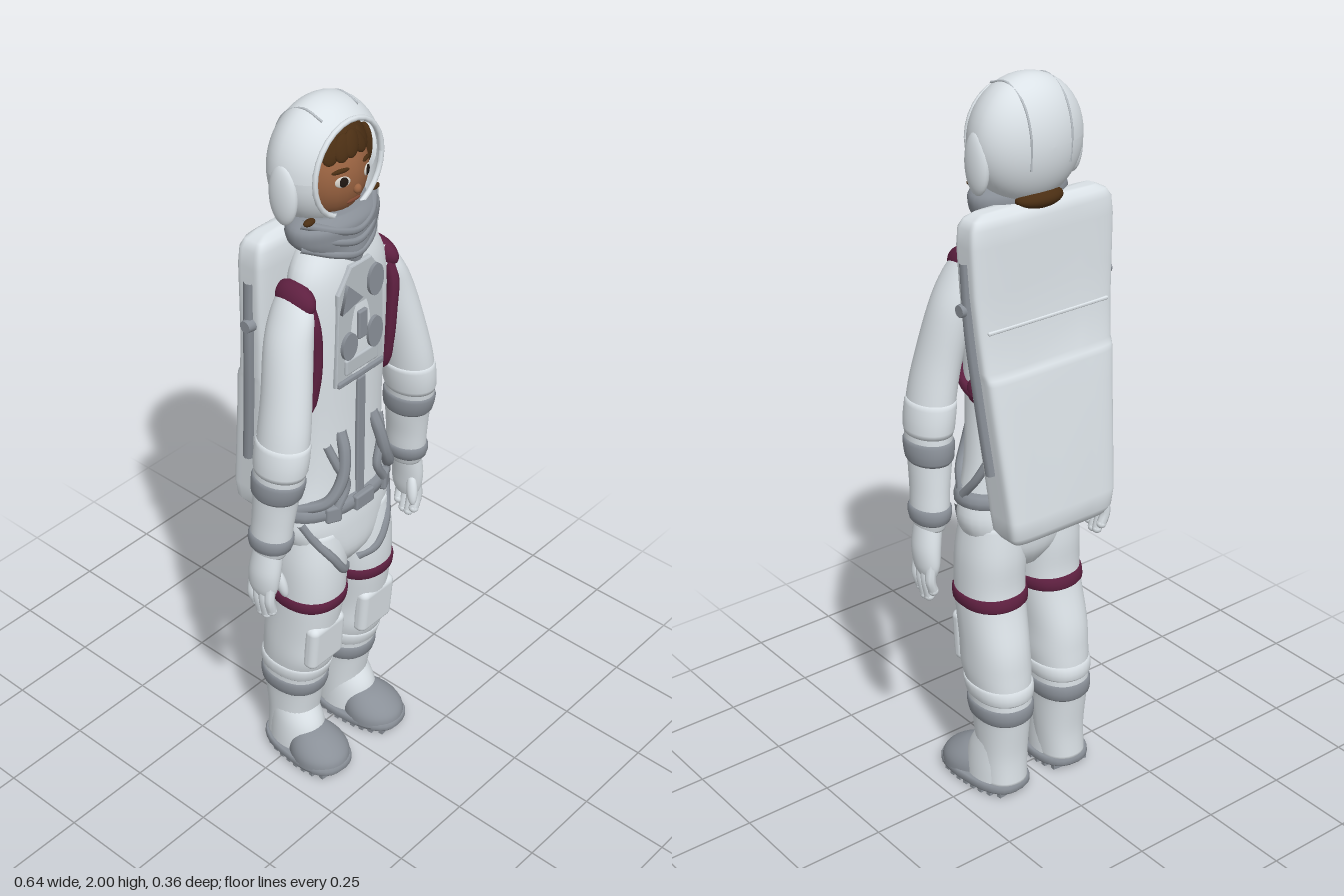
import * as THREE from 'three';
import { RoundedBoxGeometry } from 'three/addons/geometries/RoundedBoxGeometry.js';

const V = (x, y, z) => new THREE.Vector3(x, y, z);
const mat = (name, color) => new THREE.MeshStandardMaterial({ name, color });
const M = {
  white: mat('suitWhite', 0xdde4e9), grey: mat('trimGrey', 0x8a9098), panel: mat('panelGrey', 0xb9c0c6),
  maroon: mat('maroon', 0x5e2040), skin: mat('skin', 0x9a6341), hair: mat('hairBrown', 0x4a2e13),
  eye: mat('eyeWhite', 0xd8d4cc), dark: mat('dark', 0x1f1712), lip: mat('lip', 0x7c4632),
};
M.hood = M.white.clone();
M.hood.name = 'hoodWhite';
M.hood.side = THREE.DoubleSide;

// Sections are [y, x, z, rx, rz] from the bottom up; dense() smooths them
const dense = (rows, k = 5) => {
  const out = [], row = i => rows[Math.max(0, Math.min(rows.length - 1, i))];
  for (let i = 0; i < rows.length - 1; i++) for (let j = 0; j < k; j++) {
    const t = j / k;
    out.push(row(i).map((b, c) => {
      const a = row(i - 1)[c], d = row(i + 1)[c], e = row(i + 2)[c];
      return b + 0.5 * t * (d - a + t * (2 * a - 5 * b + 4 * d - e + t * (3 * (b - d) + e - a)));
    }));
  }
  return [...out, rows.at(-1)];
};
const at = (rows, y) => {
  const i = Math.max(1, rows.findIndex(r => r[0] >= y)), a = rows[i - 1], b = rows[i];
  return a.map((v, c) => v + (b[c] - v) * (y - a[0]) / (b[0] - a[0]));
};
// Height of a lofted surface's front at x, y
const front = (rows, x, y) => {
  const [, cx, cz, rx, rz] = at(rows, y);
  return cz + rz * Math.sqrt(Math.max(0, 1 - ((x - cx) / rx) ** 2));
};
// Closed loft through superelliptic rings
function loft(rows, p = 2, n = 32) {
  const pos = [], idx = [], pw = v => Math.sign(v) * Math.abs(v) ** (2 / p);
  const rings = [[...rows[0].slice(0, 3), 0, 0], ...rows, [...rows.at(-1).slice(0, 3), 0, 0]];
  rings.forEach(([y, x, z, rx, rz], j) => {
    for (let i = 0; i < n; i++) {
      const a = (i + 0.5) / n * Math.PI * 2;
      pos.push(x + rx * pw(Math.cos(a)), y, z + rz * pw(Math.sin(a)));
      if (j === rings.length - 1) continue;
      const A = j * n + i, B = j * n + (i + 1) % n;
      idx.push(A, A + n, B, B, A + n, B + n);
    }
  });
  const g = new THREE.BufferGeometry();
  g.setAttribute('position', new THREE.Float32BufferAttribute(pos, 3));
  g.setIndex(idx);
  g.computeVertexNormals();
  return g;
}
// Rounded band wrapped around a loft between two heights
const band = (rows, y0, y1, grow, p) => loft([0, 0.15, 0.5, 0.85, 1].map((t, i) => {
  const r = at(rows, y0 + (y1 - y0) * t), g = grow * [0, 0.85, 1, 0.85, 0][i];
  return [r[0], r[1], r[2], r[3] + g, r[4] + g];
}), p);
const tube = (pts, r) => new THREE.TubeGeometry(new THREE.CatmullRomCurve3(pts.map(q => V(...q))), 28, r, 8);
const ball = (rx, ry, rz) => new THREE.SphereGeometry(1, 24, 16).scale(rx, ry, rz);

export function createModel() {
  const root = new THREE.Group();
  const add = (name, geo, m, x = 0, y = 0, z = 0, rx = 0, ry = 0, rz = 0) => {
    const o = new THREE.Mesh(geo, m);
    o.name = name;
    o.position.set(x, y, z);
    o.rotation.set(rx, ry, rz);
    root.add(o);
    return o;
  };

  // Torso, belt and collar
  const torso = dense([[0.67, 0, 0.03, 0.05, 0.06], [0.73, 0, 0.03, 0.13, 0.095], [0.82, 0, 0.028, 0.182, 0.1],
    [0.9, 0, 0.03, 0.174, 0.092], [1.0, 0, 0.03, 0.158, 0.088], [1.15, 0, 0.035, 0.15, 0.082], [1.35, 0, 0.04, 0.156, 0.08],
    [1.5, 0, 0.04, 0.158, 0.078], [1.59, 0, 0.035, 0.142, 0.075], [1.66, 0, 0.025, 0.09, 0.065]]);
  add('torso', loft(torso, 2.2), M.white);
  add('belt', band(torso, 0.875, 0.92, 0.014, 2.2), M.grey);
  add('buckle', new RoundedBoxGeometry(0.07, 0.045, 0.02, 2, 0.006), M.grey, 0, 0.897, 0.134);
  add('frontSeam', new RoundedBoxGeometry(0.03, 0.37, 0.014, 2, 0.005), M.grey, 0, 1.09, 0.119);
  add('collar', loft(dense([[1.6, 0, 0.06, 0.03, 0.05], [1.63, 0, 0.045, 0.085, 0.068], [1.655, 0, 0.03, 0.125, 0.08],
    [1.68, 0, 0.025, 0.14, 0.085], [1.71, 0, 0.025, 0.138, 0.084], [1.735, 0, 0.02, 0.105, 0.07]])), M.grey);
  for (const y of [1.64, 1.675, 1.705]) // scarf folds
    add('collarFold', tube([[-0.13, y + 0.025, 0.04], [-0.06, y, 0.094], [0, y - 0.015, 0.106], [0.06, y, 0.094], [0.13, y + 0.025, 0.04]], 0.011), M.grey);

  // Chest control unit
  const plate = new THREE.Shape([[-0.085, 1.28], [0.085, 1.28], [0.078, 1.54], [0.035, 1.6], [-0.035, 1.6], [-0.078, 1.54]].map(q => new THREE.Vector2(...q)));
  add('chestUnit', new THREE.ExtrudeGeometry(plate, { depth: 0.03, bevelThickness: 0.005, bevelSize: 0.004, bevelSegments: 2 }), M.panel, 0, 0, 0.083);
  const dial = (x, y, w, h) => add('chestDial', new THREE.CylinderGeometry(1, 1, 0.012, 24).rotateX(Math.PI / 2).scale(w, h, 1), M.grey, x, y, 0.121);
  dial(0.047, 1.535, 0.027, 0.044);
  dial(0.047, 1.385, 0.027, 0.044);
  dial(-0.047, 1.385, 0.027, 0.038);
  add('chestGauge', new THREE.CylinderGeometry(0.045, 0.045, 0.012, 3).rotateX(Math.PI / 2), M.grey, -0.045, 1.52, 0.121, 0, 0, 1.3);
  add('chestSwitch', new RoundedBoxGeometry(0.032, 0.08, 0.016, 2, 0.005), M.grey, 0, 1.43, 0.12);
  add('chestPocket', new RoundedBoxGeometry(0.12, 0.045, 0.014, 2, 0.006), M.panel, 0, 1.325, 0.119);
  add('chestBase', new RoundedBoxGeometry(0.17, 0.018, 0.03, 2, 0.006), M.grey, 0, 1.283, 0.11);

  // Backpack with a deeper lower half
  const pack = [[0.82, 0, -0.115, 0.11, 0.025], [0.828, 0, -0.117, 0.15, 0.045], [0.85, 0, -0.118, 0.166, 0.055], [0.9, 0, -0.117, 0.172, 0.06],
    [1.2, 0, -0.08, 0.195, 0.056], [1.27, 0, -0.073, 0.2, 0.055], [1.285, 0, -0.071, 0.202, 0.052], [1.3, 0, -0.066, 0.204, 0.047], [1.4, 0, -0.056, 0.211, 0.045],
    [1.5, 0, -0.05, 0.218, 0.044], [1.62, 0, -0.046, 0.222, 0.045], [1.665, 0, -0.045, 0.218, 0.043], [1.685, 0, -0.045, 0.205, 0.035], [1.697, 0, -0.045, 0.18, 0.02]];
  add('backpack', loft(pack, 7, 56), M.white);
  add('packRidge', new RoundedBoxGeometry(0.38, 0.01, 0.01, 2, 0.004), M.white, 0, 1.405, -0.098);

  // Hood and rim
  const cut = 0.86;
  const hood = new THREE.SphereGeometry(1, 48, 32, 0, Math.PI * 2, cut, Math.PI - cut).rotateX(Math.PI / 2).scale(0.154, 0.16, 0.105);
  const hp = hood.attributes.position;
  for (let i = 0; i < hp.count; i++) if (hp.getZ(i) > 0) hp.setZ(i, hp.getZ(i) * 1.25);
  hood.computeVertexNormals();
  add('hood', hood, M.hood, 0, 1.84, -0.01);
  const rim = Array.from({ length: 25 }, (_, i) => {
    const a = i / 24 * Math.PI * 2;
    return [0.117 * Math.cos(a), 1.84 + 0.121 * Math.sin(a), 0.075];
  });
  add('hoodRim', tube(rim, 0.007), M.white);

  // Head, face and hair
  const faceZ = (x, y) => 0.01 + 0.093 * Math.sqrt(1 - (x / 0.102) ** 2 - ((y - 1.82) / 0.118) ** 2);
  add('head', ball(0.102, 0.118, 0.093), M.skin, 0, 1.82, 0.01);
  add('nose', ball(0.011, 0.012, 0.01), M.skin, 0, 1.795, 0.102);
  add('mouth', ball(0.024, 0.005, 0.004), M.lip, 0, 1.762, faceZ(0, 1.762));
  add('hairCap', new THREE.SphereGeometry(1, 32, 20, 0, Math.PI * 2, 0, 1.75).rotateX(-0.5).scale(0.111, 0.09, 0.1), M.hair, 0, 1.868, -0.005);
  for (let i = -3; i <= 3; i++)
    add('fringeLock', ball(0.023, 0.034, 0.01), M.hair, i * 0.026, 1.905 - 0.004 * Math.abs(i), faceZ(i * 0.026, 1.892) - 0.002, -0.4, i * 0.22, i > 0 ? 0.6 : -0.5);
  add('napeHair', ball(0.07, 0.026, 0.04), M.hair, 0, 1.702, -0.056);

  for (const s of [1, -1]) {
    const sx = rows => rows.map(([y, x, ...r]) => [y, x * s, ...r]);
    const sp = pts => pts.map(([x, y, z]) => [x * s, y, z]);

    // Eyes, brows, side hair and hood covers
    add('eye', ball(0.02, 0.014, 0.004), M.eye, 0.043 * s, 1.826, faceZ(0.043, 1.826), 0, 0.42 * s);
    add('pupil', ball(0.012, 0.013, 0.004), M.dark, 0.042 * s, 1.826, faceZ(0.042, 1.826) + 0.002, 0, 0.42 * s);
    add('brow', ball(0.023, 0.006, 0.005), M.hair, 0.045 * s, 1.853, faceZ(0.045, 1.853), 0, 0.42 * s, -0.12 * s);
    add('sideHair', ball(0.014, 0.055, 0.024), M.hair, 0.1 * s, 1.85, 0.035);
    add('looseHair', ball(0.018, 0.009, 0.01), M.hair, 0.115 * s, 1.735, 0.055);
    add('hoodEarCover', ball(0.022, 0.08, 0.042), M.white, 0.143 * s, 1.8, 0);
    add('hoodSeam', tube(sp([[0.062, 1.972, 0.05], [0.062, 1.986, -0.01], [0.062, 1.95, -0.073], [0.062, 1.88, -0.103], [0.06, 1.79, -0.102]]), 0.003), M.panel);

    // Arm, cuffs and glove
    const arm = dense(sx([[0.84, 0.269, 0.053, 0.036, 0.046], [0.88, 0.266, 0.055, 0.046, 0.057], [0.95, 0.261, 0.06, 0.048, 0.06],
      [1.02, 0.255, 0.066, 0.053, 0.064], [1.1, 0.25, 0.075, 0.057, 0.072], [1.2, 0.236, 0.077, 0.058, 0.073], [1.3, 0.217, 0.07, 0.056, 0.069],
      [1.43, 0.188, 0.052, 0.054, 0.066], [1.51, 0.162, 0.044, 0.043, 0.06], [1.57, 0.14, 0.035, 0.025, 0.04]]));
    add('arm', loft(arm), M.white);
    add('elbowBand', band(arm, 1.025, 1.085, 0.006), M.grey);
    add('wristBand', band(arm, 0.858, 0.903, 0.007), M.grey);
    add('sleeveFold', band(arm, 1.1, 1.19, 0.004), M.white);
    add('glove', loft(dense(sx([[0.71, 0.287, 0.045, 0.02, 0.036], [0.74, 0.287, 0.046, 0.028, 0.046],
      [0.79, 0.284, 0.05, 0.033, 0.048], [0.86, 0.272, 0.054, 0.034, 0.042]]))), M.white);
    for (let f = 0; f < 4; f++) {
      const z = 0.016 + f * 0.02, tip = [0.655, 0.632, 0.63, 0.648][f];
      add('finger', tube(sp([[0.292, 0.75, z], [0.297, 0.7, z], [0.287, tip + 0.012, z * 0.9 + 0.005]]), 0.014), M.white);
      add('fingertip', ball(0.014, 0.014, 0.014), M.white, 0.287 * s, tip + 0.012, z * 0.9 + 0.005);
    }
    add('thumb', ball(0.014, 0.048, 0.016), M.white, 0.262 * s, 0.745, 0.085, -0.2, 0, -0.15 * s);

    // Leg, bands and knee pad
    const leg = dense(sx([[0.03, 0.103, -0.03, 0.064, 0.072], [0.12, 0.1, -0.027, 0.066, 0.072], [0.22, 0.1, -0.024, 0.071, 0.085],
      [0.26, 0.1, -0.022, 0.076, 0.092], [0.32, 0.1, -0.016, 0.078, 0.097], [0.38, 0.1, -0.003, 0.084, 0.106], [0.46, 0.1, 0.004, 0.085, 0.104],
      [0.6, 0.094, 0.03, 0.09, 0.097], [0.72, 0.091, 0.03, 0.09, 0.098], [0.82, 0.085, 0.028, 0.08, 0.088]]));
    add('leg', loft(leg, 2.2), M.white);
    add('thighBand', band(leg, 0.575, 0.612, 0.006, 2.2), M.maroon);
    add('calfBand', band(leg, 0.235, 0.285, 0.006, 2.2), M.grey);
    add('calfFold', band(leg, 0.3, 0.345, 0.006, 2.2), M.white);
    add('kneePad', new RoundedBoxGeometry(0.13, 0.15, 0.045, 4, 0.02), M.white, 0.102 * s, 0.445, 0.088, 0.08);

    // Boot with toe cap, sole and treads
    const boot = new THREE.Group();
    boot.name = 'boot';
    boot.position.set(0.105 * s, 0, -0.025);
    boot.rotation.y = 0.1 * s;
    const part = (name, geo, m) => { const o = new THREE.Mesh(geo, m); o.name = name; boot.add(o); return o; };
    part('bootHeel', loft(dense([[0.02, 0, 0.02, 0.072, 0.092], [0.07, 0, 0.02, 0.07, 0.09], [0.12, 0, 0.015, 0.066, 0.082], [0.17, 0, 0, 0.06, 0.068]])), M.white);
    part('toeCap', loft(dense([[0.02, 0, 0.11, 0.082, 0.092], [0.05, 0, 0.108, 0.08, 0.088], [0.075, 0, 0.098, 0.068, 0.074], [0.098, 0, 0.082, 0.045, 0.05], [0.108, 0, 0.07, 0.02, 0.025]])), M.grey);
    part('sole', loft([[0.012, 0, 0.062, 0.08, 0.138], [0.018, 0, 0.062, 0.084, 0.142], [0.03, 0, 0.062, 0.084, 0.142], [0.036, 0, 0.062, 0.08, 0.138]], 2.6), M.grey);
    for (let i = 0; i < 9; i++) {
      const w = 0.155 * Math.sqrt(1 - Math.abs((i - 4) / 5.2) ** 2.6);
      part('tread', new THREE.BoxGeometry(w, 0.016, 0.014), M.grey).position.set(0, 0.008, -0.05 + i * 0.028);
    }
    root.add(boot);

    // Maroon yoke over the shoulder, tapering down the chest and round to the pack
    add('shoulderYoke', ball(0.03, 0.042, 0.062), M.maroon, 0.152 * s, 1.54, 0.042, 0.15, 0, 0.25 * s);
    add('shoulderStrap', tube(sp([[0.148, 1.55, 0.07], [0.145, 1.48, 0.096], [0.139, 1.4, 0.098],
      [0.139, 1.3, 0.09], [0.145, 1.22, 0.068], [0.155, 1.2, 0.01], [0.15, 1.21, -0.05]]), 0.016), M.maroon);
    add('strapAnchor', ball(0.02, 0.035, 0.03), M.maroon, 0.15 * s, 1.205, 0.005);

    // Waist hoses, belt clips and harness
    add('waistHose', tube(sp([[0.06, 1.13, 0.105], [0.066, 1.08, 0.126], [0.085, 1.0, 0.134], [0.12, 0.94, 0.115], [0.165, 0.91, 0.05]]), 0.016), M.grey);
    add('hoseLoop', tube(sp([[0.1, 1.1, 0.095], [0.085, 1.04, 0.118], [0.06, 0.97, 0.128], [0.09, 0.91, 0.125]]), 0.012), M.grey);
    add('beltClip', new RoundedBoxGeometry(0.045, 0.05, 0.025, 2, 0.008), M.grey, 0.1 * s, 0.895, 0.118, 0, 0.45 * s);
    const strap = [[0.165, 0.87], [0.14, 0.81], [0.105, 0.75], [0.065, 0.69], [0.025, 0.665]]
      .map(([x, y]) => [x * s, y, Math.max(y > 0.68 ? front(torso, x * s, y) : -1, front(leg, x * s, y)) - 0.002]);
    add('hipHarness', tube(strap, 0.013), M.grey);

    // Pack fittings
    add('packSideStrap', tube(sp([[0.216, 1.58, -0.045], [0.212, 1.4, -0.055], [0.197, 1.2, -0.075], [0.183, 1.02, -0.097]]), 0.015), M.grey);
    add('packKnob', new THREE.CylinderGeometry(0.016, 0.02, 0.03, 12).rotateZ(-s * Math.PI / 2), M.grey, 0.222 * s, 1.46, -0.045);
    add('packHarness', tube(sp([[0.15, 1.05, -0.06], [0.172, 0.97, -0.02], [0.178, 0.91, 0.03]]), 0.012), M.grey);
  }
  return root;
}
